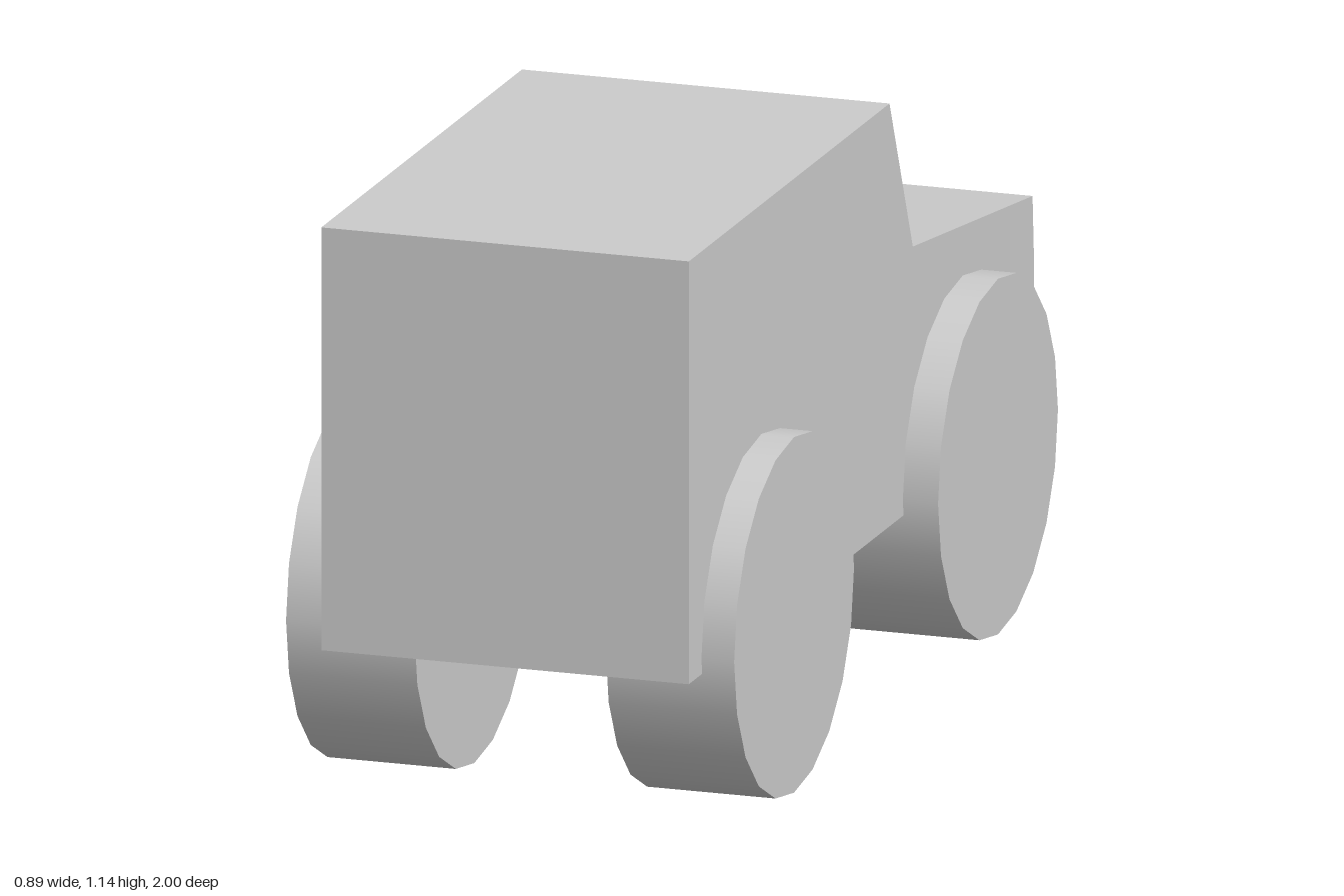
import * as THREE from 'three';

export function createModel() {
  const group = new THREE.Group();
  const material = new THREE.MeshStandardMaterial({ color: 0xcccccc });

  // Body: side profile as (z, y), with the cabin at +z and the hood at -z
  const profile = [
    [1, 0.32], [1, 1.145], [-0.162, 1.145], [-0.297, 0.83],
    [-0.99, 0.745], [-0.997, 0.64], [-1, 0.54], [-1, 0.32],
  ].map(([z, y]) => new THREE.Vector2(z, y));
  const left = 0.375, right = -0.355;
  const bodyGeometry = new THREE.ExtrudeGeometry(new THREE.Shape(profile), {
    depth: left - right, bevelEnabled: false,
  });
  bodyGeometry.rotateY(-Math.PI / 2).translate(left, 0, 0);
  const body = new THREE.Mesh(bodyGeometry, material);
  body.name = 'body';
  group.add(body);

  // Wheels: plain drums, each set at a slightly different offset
  const radius = 0.347, width = 0.255;
  const wheelGeometry = new THREE.CylinderGeometry(radius, radius, width, 20);
  wheelGeometry.rotateZ(Math.PI / 2);
  const wheels = [
    ['frontLeftWheel', 0.44 - width / 2, 0.58],
    ['frontRightWheel', -0.45 + width / 2, 0.58],
    ['rearLeftWheel', 0.445 - width / 2, -0.586],
    ['rearRightWheel', -0.405 + width / 2, -0.586],
  ];
  for (const [name, x, z] of wheels) {
    const wheel = new THREE.Mesh(wheelGeometry, material);
    wheel.name = name;
    wheel.position.set(x, 0.35, z);
    group.add(wheel);
  }
  return group;
}
